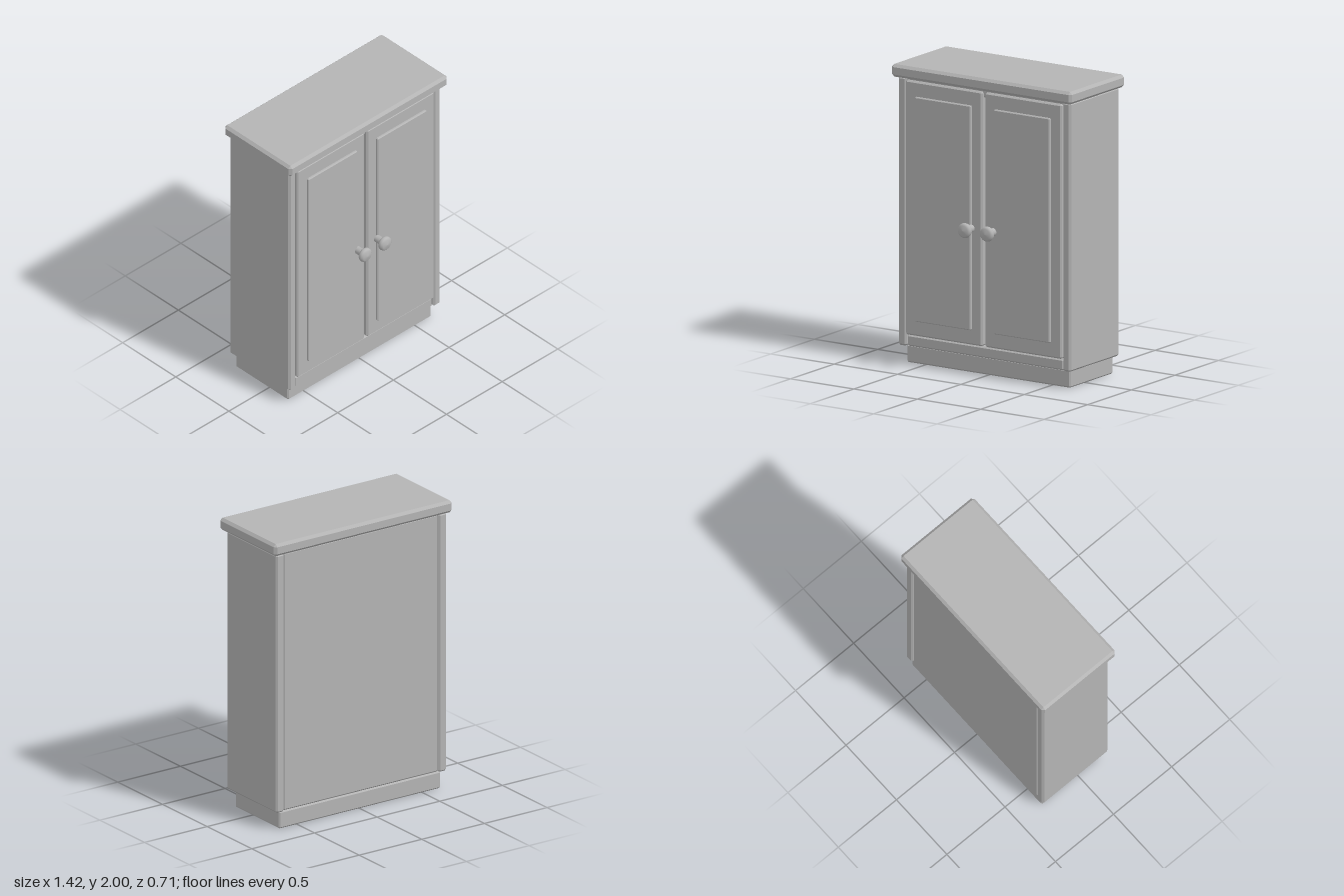
import * as THREE from 'three';
import { ConvexGeometry } from 'three/addons/geometries/ConvexGeometry.js';

// Box between two corners with every edge chamfered by c
function chamferBox(min, max, c) {
  const center = min.map((v, i) => (v + max[i]) / 2);
  const half = min.map((v, i) => (max[i] - v) / 2);
  const points = [];
  for (const sx of [-1, 1]) for (const sy of [-1, 1]) for (const sz of [-1, 1]) {
    const sign = [sx, sy, sz];
    for (let axis = 0; axis < 3; axis++) {
      points.push(new THREE.Vector3(...half.map((h, i) => center[i] + sign[i] * (i === axis ? h : h - c))));
    }
  }
  return new ConvexGeometry(points);
}

export function createModel() {
  const group = new THREE.Group();
  const grey = new THREE.MeshStandardMaterial({ color: 0xb4b4b4 });
  grey.name = 'grey';

  const add = (name, geometry, parent = group) => {
    const mesh = new THREE.Mesh(geometry, grey);
    mesh.name = name;
    parent.add(mesh);
    return mesh;
  };

  // Carcass
  add('topBoard', chamferBox([-0.711, 1.915, -0.355], [0.711, 2, 0.275], 0.018));
  add('plinth', chamferBox([-0.645, 0, -0.31], [0.645, 0.12, 0.185], 0.01));
  add('bottomBoard', chamferBox([-0.617, 0.12, -0.31], [0.617, 0.195, 0.222], 0.01));
  add('backPanel', chamferBox([-0.617, 0.125, -0.322], [0.617, 1.915, -0.29], 0.01));
  add('innerTopBoard', chamferBox([-0.617, 1.86, -0.31], [0.617, 1.916, 0.222], 0.008));

  // Knob profile: stem, then a flattened rounded head
  const knobProfile = [
    [0.026, 0], [0.026, 0.05], [0.036, 0.052], [0.047, 0.062],
    [0.05, 0.073], [0.047, 0.087], [0.035, 0.097], [0, 0.102],
  ].map(([r, h]) => new THREE.Vector2(r, h));

  for (const side of [-1, 1]) {
    const label = side > 0 ? 'left' : 'right';
    // Spans mirrored about x = 0
    const slab = (x0, x1, y0, y1, z0, z1, c) => chamferBox(
      [Math.min(side * x0, side * x1), y0, z0], [Math.max(side * x0, side * x1), y1, z1], c);

    add(label + 'SidePanel', slab(0.617, 0.68, 0.12, 1.915, -0.33, 0.235, 0.012));

    // Door with raised panel and knob
    const door = new THREE.Group();
    door.name = label + 'Door';
    group.add(door);
    add(label + 'DoorBoard', slab(0.011, 0.615, 0.2, 1.9, 0.19, 0.243, 0.01), door);
    add(label + 'DoorRaisedPanel', slab(0.09, 0.532, 0.3, 1.8, 0.23, 0.259, 0.006), door);
    const knob = add(label + 'Knob', new THREE.LatheGeometry(knobProfile, 24), door);
    knob.rotation.x = Math.PI / 2;
    knob.position.set(side * 0.088, 0.982, 0.253);
  }
  return group;
}
